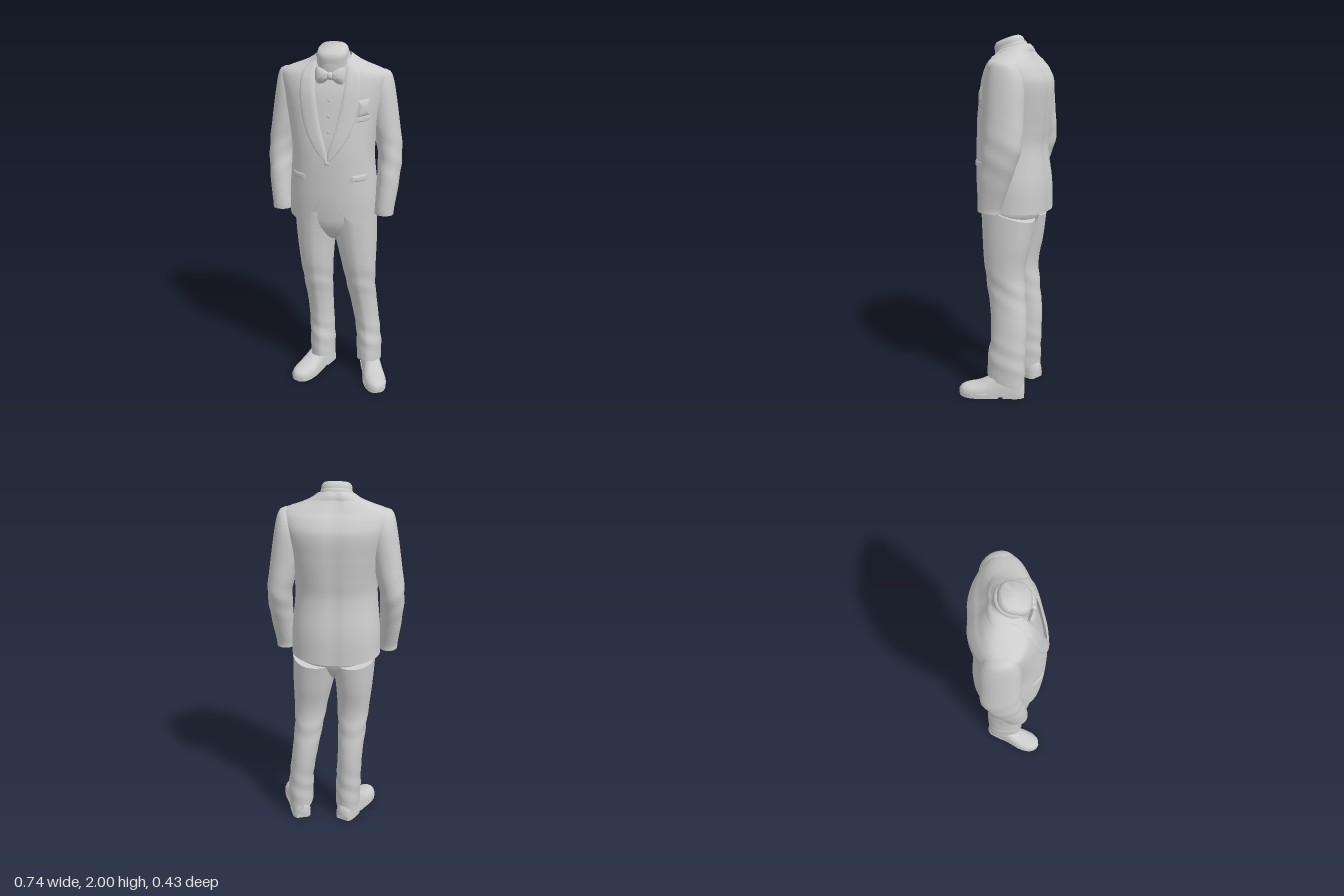
import * as THREE from 'three';
import { mergeVertices, toCreasedNormals } from 'three/addons/utils/BufferGeometryUtils.js';

const material = new THREE.MeshStandardMaterial({ color: 0xcccccc, side: THREE.DoubleSide });
const { sin, cos, abs, sign, PI, max, exp } = Math;

// Smoothly interpolate rows of [key, a, b, ...] at a key
function at(table, k) {
  const n = table.length;
  let i = 0;
  while (i < n - 2 && k > table[i + 1][0]) i++;
  const p = table[i], q = table[i + 1], h = q[0] - p[0];
  const t = THREE.MathUtils.clamp((k - p[0]) / h, 0, 1);
  const slope = (j, c) => {
    const a = table[max(j - 1, 0)], b = table[Math.min(j + 1, n - 1)];
    return (b[c] - a[c]) / (b[0] - a[0]);
  };
  return p.slice(1).map((v, j) => {
    const c = j + 1, t2 = t * t, t3 = t2 * t;
    return v * (2 * t3 - 3 * t2 + 1) + q[c] * (3 * t2 - 2 * t3)
      + h * (slope(i, c) * (t3 - 2 * t2 + t) + slope(i + 1, c) * (t3 - t2));
  });
}

// Surface from fn(u, v) -> [x, y, z], both 0..1
function grid(name, nu, nv, fn, crease = 1) {
  const pos = [], idx = [];
  for (let j = 0; j <= nv; j++) for (let i = 0; i <= nu; i++) pos.push(...fn(i / nu, j / nv, j));
  for (let j = 0; j < nv; j++) for (let i = 0; i < nu; i++) {
    const a = j * (nu + 1) + i, c = a + nu + 1;
    idx.push(a, a + 1, c, a + 1, c + 1, c);
  }
  let g = new THREE.BufferGeometry();
  g.setAttribute('position', new THREE.Float32BufferAttribute(pos, 3));
  g.setIndex(idx);
  g = toCreasedNormals(mergeVertices(g, 1e-5), crease);
  return mesh(name, g);
}
function mesh(name, geometry) {
  const m = new THREE.Mesh(geometry, material);
  m.name = name;
  return m;
}
const se = (v, n) => sign(v) * abs(v) ** (2 / n);

// Closed vertical loft; rows are [y, cx, cz, rx, rz]
function loft(name, table, { seg = 48, rows = 50, n = 2.15, bump = () => 0, tilt = 0 } = {}) {
  const y0 = table[0][0], y1 = table[table.length - 1][0], last = rows + 2;
  return grid(name, seg, last, (u, _, j) => {
    const k = THREE.MathUtils.clamp((j - 1) / rows, 0, 1), y = y0 + (y1 - y0) * k;
    const a = u === 1 ? 0 : u * 2 * PI;
    const [cx, cz, rx, rz] = at(table, y);
    const s = j === 0 || j === last ? 0 : 1, o = bump(a > PI ? a - 2 * PI : a, y);
    const z = (rz + o) * se(cos(a), n) * s;
    return [cx + (rx + o) * se(sin(a), n) * s, y + tilt * z, cz + z];
  });
}

// Torso sections: y, half width, front z, back z
const BODY = [
  [1.04, .247, .18, -.212], [1.2, .243, .19, -.21], [1.4, .225, .192, -.186], [1.5, .23, .185, -.194],
  [1.62, .25, .165, -.205], [1.75, .278, .14, -.208], [1.82, .287, .115, -.175], [1.855, .27, .097, -.145],
  [1.885, .185, .088, -.118], [1.91, .122, .082, -.1], [1.93, .094, .077, -.085]];
const N = 2.3, TOP = 1.93;
function torso(a, y, off = 0) {
  const [rx, zf, zb] = at(BODY, y);
  const spine = .007 * exp(-(((a - PI) / .14) ** 2));
  const z = (zf + zb) / 2 + ((zf - zb) / 2 + off - spine) * se(cos(a), N);
  // The neckline dips at the front and rises behind
  return [(rx + off) * se(sin(a), N), y - 3 * max(0, y - 1.85) * z, z];
}
const angleAt = (x, y) => sign(x) * Math.asin(Math.min(1, (abs(x) / at(BODY, y)[0]) ** (N / 2)));

// Half width of the jacket opening, and of the lapel's outer edge
const OPENING = [[1.04, .15], [1.055, .125], [1.1, .09], [1.2, .045], [1.3, .002], [1.36, 0], [1.44, 0],
  [1.47, .006], [1.6, .042], [1.77, .074], [1.85, .08], [1.93, .08]];
const LAPEL = [[1.4, .004], [1.46, .06], [1.55, .115], [1.66, .15], [1.78, .16], [1.86, .148], [1.92, .108]];
const opening = y => angleAt(max(0, at(OPENING, y)[0]), y);

// Padded patch lying on the front of the jacket
function patch(name, x0, x1, y0, y1, thick, slant = 0, power = 6) {
  return grid(name, 20, 20, (u, v) => {
    const x = x0 + (x1 - x0) * u, y = y0 + (y1 - y0) * v + slant * u;
    const e = max(abs(2 * u - 1), abs(2 * v - 1));
    return torso(angleAt(x, y), y, thick * (1 - e ** power) - .001);
  });
}
function ball(name, x, y, r, off) {
  const b = mesh(name, new THREE.SphereGeometry(r, 16, 10));
  b.position.set(...torso(angleAt(x, y), y, off));
  b.scale.z = .5;
  return b;
}

function shoe(name, x, angle, length) {
  const g = new THREE.Group();
  g.name = name;
  const FORM = [[0, .034, .09], [.02, .05, .105], [.08, .056, .13], [.15, .057, .135], [.2, .062, .105],
    [.25, .067, .08], [.31, .058, .066], [.345, .036, .054], [.36, .008, .035]];
  g.add(grid(name + 'Upper', 32, 42, (u, _, j) => {
    const s = THREE.MathUtils.clamp((j - 1) / 40, 0, 1) * .36, [w, h] = at(FORM, s);
    const a = u === 1 ? 0 : u * 2 * PI, k = j === 0 || j === 42 ? 0 : 1;
    return [k * w * se(cos(a), 2.5), .022 + k * (h - .022) * se(max(0, sin(a)), 2.3), s];
  }));
  // Welt, forefoot sole and heel block share one outline
  const slab = (part, s0, s1, top, depth, grow) => {
    const side = Array.from({ length: 25 }, (_, i) => s0 + (s1 - s0) * i / 24)
      .map(s => [at(FORM, s)[0] + grow, s]);
    const pts = [...side, ...side.slice().reverse().map(([w, s]) => [-w, s])].map(p => new THREE.Vector2(...p));
    const geo = new THREE.ExtrudeGeometry(new THREE.Shape(pts), { depth, bevelEnabled: false });
    const m = mesh(name + part, geo.rotateX(PI / 2));
    m.position.y = top;
    g.add(m);
  };
  slab('Welt', 0, .36, .026, .018, .002);
  slab('Sole', .14, .355, .01, .01, .001);
  slab('Heel', 0, .115, .01, .01, .002);
  g.position.set(x, 0, -.14);
  g.rotation.y = angle;
  g.scale.z = length / .36;
  return g;
}

export function createModel() {
  const model = new THREE.Group();
  model.name = 'headlessSuitFigure';

  // Jacket shell, open at the neck and cut away below the button
  model.add(grid('jacket', 96, 91, (u, _, j) => {
    const v = max(0, j - 1) / 90, y = 1.04 + (TOP - 1.04) * v, g = opening(y);
    const p = torso(g + (2 * PI - 2 * g) * u, y, j === 0 ? -.035 : 0);
    p[1] += .02 * (1 - v) ** 8 * abs(p[0] / .245) ** 2;
    return p;
  }));
  // Shirt and waistcoat beneath
  const under = (name, y0, y1, off) => grid(name, 64, 50, (u, v) => torso(u * 2 * PI, y0 + (y1 - y0) * v, off));
  model.add(under('shirt', 1.42, TOP, -.016), under('waistcoat', 1.19, 1.5, -.012));

  // Shawl lapels and the collar round the neck
  for (const side of [1, -1]) {
    const lapel = grid('lapel', 14, 50, (u, v) => {
      const y = 1.4 + .52 * v, a = opening(y), b = max(a, angleAt(at(LAPEL, y)[0], y));
      return torso(a + (b - a) * u, y, .009 * (1 - abs(2 * u - 1) ** 6) - .001);
    });
    lapel.scale.x = side;
    model.add(lapel);
  }
  model.add(grid('jacketCollar', 60, 12, (u, v) =>
    torso(1.1 + (2 * PI - 2.2) * u, 1.895 + .035 * v, .008 * sin(PI * u) ** .4 * sin(PI * (.05 + v * .75)) - .001)));

  // Pockets, handkerchief, button and shirt studs
  model.add(patch('leftPocketFlap', .12, .205, 1.295, 1.33, .006), patch('rightPocketFlap', -.205, -.12, 1.295, 1.33, .006));
  model.add(patch('breastPocketWelt', .14, .215, 1.61, 1.64, .005, .012));
  model.add(patch('pocketHandkerchief', .148, .208, 1.635, 1.725, .013, .01, 3));
  model.add(ball('jacketButton', 0, 1.4, .014, .004));
  for (const y of [1.56, 1.64, 1.72]) model.add(ball('shirtStud', 0, y, .007, -.015));

  // Neck with a sloping top, and the shirt collar
  model.add(loft('neck', [[1.83, 0, .005, .08, .078], [1.93, 0, .018, .081, .078], [1.96, 0, .025, .08, .073],
    [1.974, 0, .028, .07, .062]], { rows: 30, tilt: -.36, n: 2.5 }));
  model.add(loft('shirtCollar', [[1.84, 0, .002, .087, .09], [1.9, 0, .008, .088, .088], [1.935, 0, .012, .086, .084],
    [1.943, 0, .014, .08, .079]], { rows: 20, tilt: -.3 }));

  // Bow tie
  const bow = new THREE.Group();
  bow.name = 'bowTie';
  for (const side of [1, -1]) {
    const WING = [[0, .016, .012], [.25, .03, .018], [.7, .047, .021], [.92, .044, .014], [1, .028, .004]];
    const wing = grid('bowWing', 24, 21, (u, _, j) => {
      const t = Math.min(1, j / 20), [h, d] = at(WING, t), a = u === 1 ? 0 : u * 2 * PI, k = j > 20 ? 0 : 1;
      return [.008 + .074 * t, k * h * sin(a) * (1 - .15 * abs(cos(a))) - .006 * t,
        k * d * cos(a) * (1 - .25 * abs(sin(a))) - .018 * t * t];
    });
    wing.scale.x = side;
    bow.add(wing);
  }
  const knot = mesh('bowKnot', new THREE.SphereGeometry(.02, 20, 14));
  knot.scale.set(.9, 1, .9);
  bow.add(knot);
  bow.position.set(0, 1.842, .106);
  model.add(bow);

  // Sleeves with soft elbow folds, set into the shoulder
  const SLEEVE = [[1.075, .29, .027, .052, .062], [1.1, .29, .026, .053, .064], [1.25, .301, -.008, .061, .086],
    [1.42, .303, -.05, .067, .102], [1.6, .27, -.052, .077, .104], [1.75, .25, -.05, .073, .098],
    [1.82, .25, -.046, .058, .076], [1.85, .25, -.042, .043, .05], [1.862, .25, -.04, .02, .02]];
  for (const side of [1, -1]) {
    const sleeve = loft(side > 0 ? 'leftSleeve' : 'rightSleeve', SLEEVE, {
      rows: 70, tilt: .1,
      bump: (a, y) => .002 * sin(y * 50 + a * 2) * exp(-(((y - 1.38) / .12) ** 2))
    });
    sleeve.scale.x = side;
    model.add(sleeve);
  }

  // Trousers: seat and two legs with a pressed crease and soft folds
  model.add(loft('trouserSeat', [[.89, .01, -.01, .03, .02], [.915, .01, -.01, .07, .07], [.95, .011, -.01, .13, .107],
    [1, .012, -.011, .19, .136], [1.05, .01, -.012, .22, .15], [1.2, 0, -.01, .222, .16], [1.3, 0, 0, .195, .15]]));
  const folds = (a, y) => .004 * exp(-((a / .13) ** 2))
    + .0025 * sin(y * 55 + cos(a) * 2 + a * 2) * exp(-(((y - .24) / .1) ** 2))
    + .002 * sin(y * 48 - cos(a) * 2) * exp(-(((y - .62) / .1) ** 2));
  const leg = (name, upper) => loft(name, upper, { rows: 80, bump: folds, tilt: .33 });
  model.add(leg('rightTrouserLeg', [[.085, -.073, -.036, .072, .108], [.2, -.075, -.04, .074, .106],
    [.3, -.078, -.046, .072, .1], [.45, -.086, -.042, .074, .105], [.6, -.094, -.02, .083, .11],
    [.75, -.1, -.002, .095, .115], [.9, -.102, -.008, .109, .134], [1.05, -.092, -.012, .13, .15]]));
  model.add(leg('leftTrouserLeg', [[.085, .214, -.036, .073, .108], [.2, .212, -.04, .074, .106],
    [.3, .203, -.046, .072, .1], [.45, .181, -.042, .076, .105], [.6, .16, -.02, .084, .11],
    [.75, .146, -.002, .099, .115], [.9, .129, -.008, .118, .134], [1.05, .11, -.012, .135, .15]]));

  model.add(shoe('rightShoe', -.045, -.44, .36), shoe('leftShoe', .195, .29, .37));
  return model;
}
